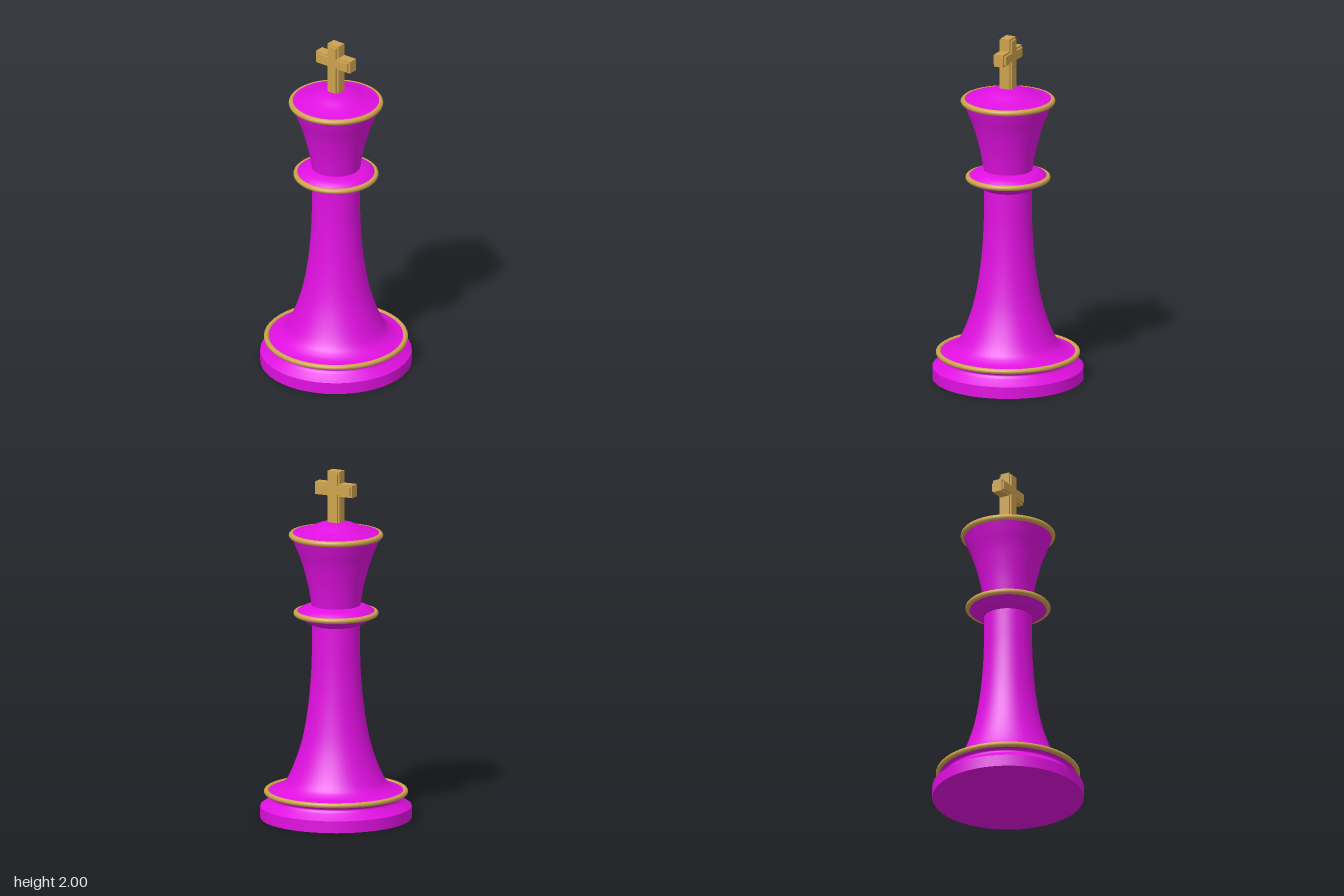
import * as THREE from 'three';

const SIDES = 48;

export function createModel() {
  const group = new THREE.Group();
  group.name = 'chessKing';
  const magenta = new THREE.MeshStandardMaterial({ color: 0xe010e0 });
  magenta.name = 'magenta';
  const gold = new THREE.MeshStandardMaterial({ color: 0xcda24e });
  gold.name = 'gold';

  const add = (name, geometry, material, y = 0, parent = group) => {
    const mesh = new THREE.Mesh(geometry, material);
    mesh.name = name;
    mesh.position.y = y;
    parent.add(mesh);
    return mesh;
  };

  // Turned part: [radius, height] points from bottom to top, optionally smoothed
  const turned = (name, profile, samples = 0) => {
    let pts = profile.map(([r, y]) => new THREE.Vector2(r, y));
    if (samples) pts = new THREE.SplineCurve(pts).getPoints(samples);
    pts.forEach((p) => { p.x = Math.max(p.x, 0); });
    add(name, new THREE.LatheGeometry(pts, SIDES), magenta);
  };

  // Base with a waist below the gold ring
  turned('baseBottom', [[0, 0], [0.427, 0]]);
  turned('baseSide', [[0.427, 0], [0.427, 0.068]]);
  turned('baseShoulder', [[0.427, 0.068], [0.405, 0.083], [0.38, 0.103]]);
  turned('baseGroove', [[0.38, 0.103], [0.368, 0.118], [0.375, 0.13], [0.392, 0.14]], 8);

  // Flared column
  turned('column', [[0.392, 0.155], [0.355, 0.163], [0.315, 0.182], [0.277, 0.22], [0.23, 0.325],
    [0.187, 0.467], [0.155, 0.66], [0.139, 0.86], [0.136, 1.0], [0.136, 1.115]], 36);

  // Collar
  turned('collarUnderside', [[0.13, 1.113], [0.145, 1.118], [0.185, 1.14], [0.227, 1.172]], 10);
  turned('collarTop', [[0.227, 1.185], [0.195, 1.208], [0.16, 1.222], [0.135, 1.228]], 10);

  // Flared head and domed cap
  turned('head', [[0.137, 1.222], [0.158, 1.34], [0.193, 1.47], [0.228, 1.56], [0.25, 1.62]], 20);
  turned('cap', [[0.255, 1.64], [0.21, 1.65], [0.155, 1.668], [0.1, 1.692], [0.05, 1.704], [0, 1.707]], 20);

  // Gold rings: [name, ring radius, tube radius, height]
  for (const [name, radius, tube, y] of [
    ['baseRing', 0.392, 0.015, 0.15],
    ['collarRing', 0.224, 0.016, 1.178],
    ['headRing', 0.25, 0.017, 1.627],
  ]) {
    add(name, new THREE.TorusGeometry(radius, tube, 12, SIDES).rotateX(Math.PI / 2), gold, y);
  }

  // Cross with stepped edges: a wide thin layer and a slimmer deep layer
  const cross = new THREE.Group();
  cross.name = 'cross';
  group.add(cross);
  const crossLayer = (name, inset, halfDepth) => {
    const w = 0.038 - inset, arm = 0.12 - inset, top = 2 - inset;
    const low = 1.857 + inset, high = 1.929 - inset, foot = 1.67;
    const outline = [[-w, foot], [w, foot], [w, low], [arm, low], [arm, high], [w, high],
      [w, top], [-w, top], [-w, high], [-arm, high], [-arm, low], [-w, low]];
    const shape = new THREE.Shape(outline.map(([x, y]) => new THREE.Vector2(x, y)));
    const geometry = new THREE.ExtrudeGeometry(shape, { depth: 2 * halfDepth, bevelEnabled: false });
    add(name, geometry.translate(0, 0, -halfDepth), gold, 0, cross);
  };
  crossLayer('crossRim', 0, 0.028);
  crossLayer('crossFace', 0.011, 0.039);

  return group;
}
